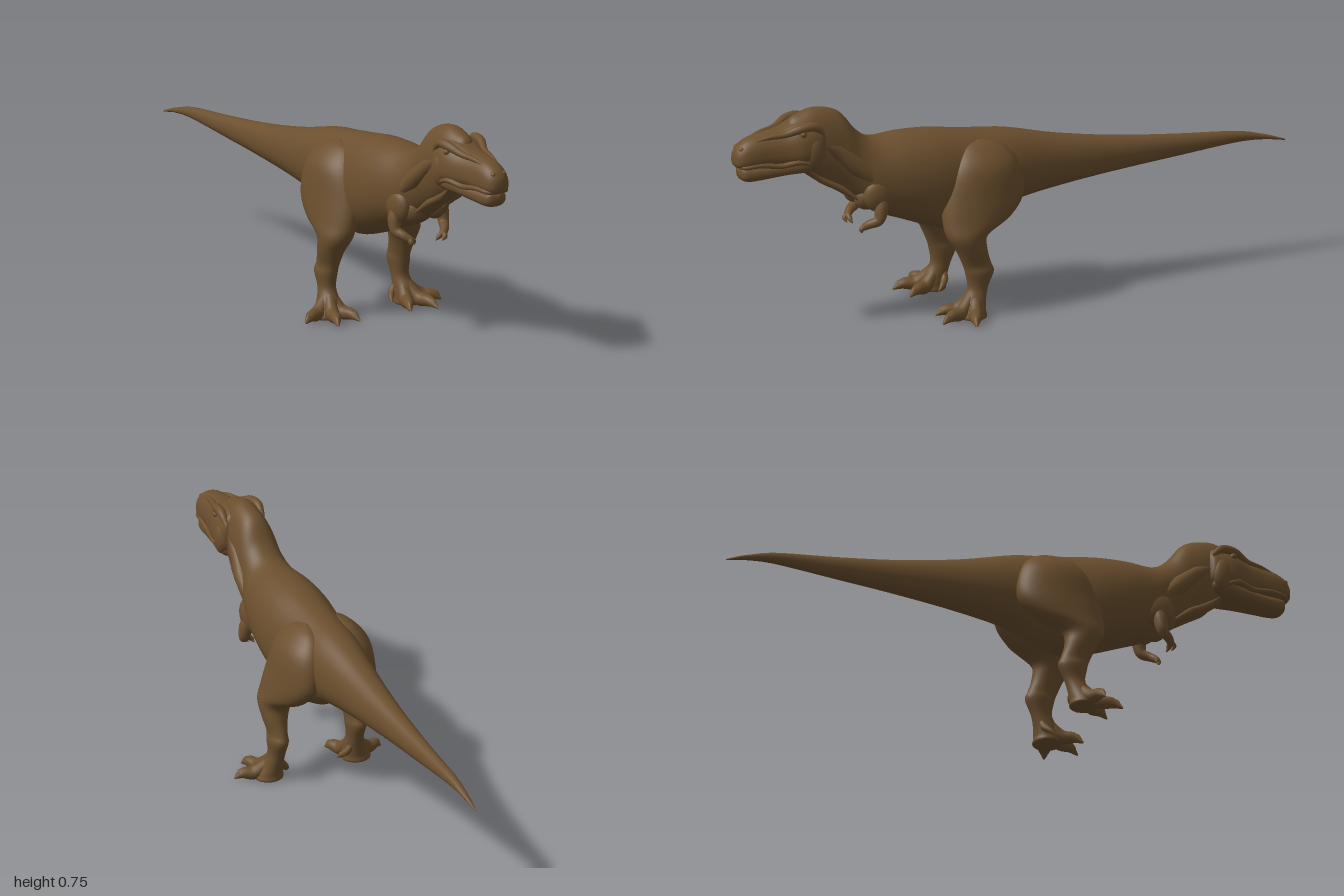
import * as THREE from 'three';

const hide = new THREE.MeshStandardMaterial({ color: 0x6b4f2e });
hide.name = 'brown hide';

// Catmull-Rom interpolation of every column in a table of cross-sections
function smoothRows(rows, steps) {
  const out = [];
  const last = rows.length - 1;
  for (let i = 0; i < last; i++) {
    const [p, a, b, q] = [rows[Math.max(i - 1, 0)], rows[i], rows[i + 1], rows[Math.min(i + 2, last)]];
    for (let s = 0; s < steps; s++) {
      const t = s / steps;
      out.push(a.map((v, k) => 0.5 * (2 * v + (b[k] - p[k]) * t
        + (2 * p[k] - 5 * v + 4 * b[k] - q[k]) * t * t
        + (3 * v - p[k] - 3 * b[k] + q[k]) * t * t * t)));
    }
  }
  out.push(rows[last]);
  return out;
}

// Skin over a stack of rings; place(row, cos, sin) gives one point
function loft(rows, place, steps = 5, sides = 36) {
  const rings = smoothRows(rows, steps);
  const pos = [], index = [];
  rings.forEach((row, i) => {
    for (let j = 0; j < sides; j++) {
      const a = (j / sides) * Math.PI * 2;
      pos.push(...place(row, Math.cos(a), Math.sin(a)));
      if (i === rings.length - 1) continue;
      const k = (j + 1) % sides;
      const A = i * sides + j, B = i * sides + k;
      index.push(A, B, A + sides, B, B + sides, A + sides);
    }
  });
  const g = new THREE.BufferGeometry();
  g.setAttribute('position', new THREE.Float32BufferAttribute(pos, 3));
  g.setIndex(index);
  g.computeVertexNormals();
  return g;
}

const power = (v, e) => Math.sign(v) * Math.abs(v) ** e;

// Rows along z: [z, top, bottom, half width]; taper narrows the upper side
const alongZ = (taper, e) => ([z, top, bottom, w], c, s) => [
  Math.max(w, 0) * power(c, e) * (1 - taper * s),
  (top + bottom) / 2 + ((top - bottom) / 2) * power(s, e), z];

// Tube through [x, y, z, radius] points, mirrored by side, kept above the ground
function taperedTube(points, side = 1, segments = 24, sides = 14) {
  const curve = new THREE.CatmullRomCurve3(points.map(p => new THREE.Vector3(p[0] * side, p[1], p[2])));
  const g = new THREE.TubeGeometry(curve, segments, 1, sides);
  const pos = g.attributes.position, v = new THREE.Vector3();
  for (let i = 0; i <= segments; i++) {
    const u = i / segments, centre = curve.getPointAt(u);
    const t = curve.getUtoTmapping(u) * (points.length - 1);
    const k = Math.min(Math.floor(t), points.length - 2);
    const r = THREE.MathUtils.lerp(points[k][3], points[k + 1][3], t - k);
    for (let j = 0; j <= sides; j++) {
      const n = i * (sides + 1) + j;
      v.fromBufferAttribute(pos, n).sub(centre).multiplyScalar(r).add(centre);
      pos.setXYZ(n, v.x, Math.max(v.y, 0.003), v.z);
    }
  }
  return g;
}

function add(parent, name, geometry) {
  const mesh = new THREE.Mesh(geometry, hide);
  mesh.name = name;
  parent.add(mesh);
  return mesh;
}

function blob(parent, name, position, scale, rotation = [0, 0, 0]) {
  const mesh = add(parent, name, new THREE.SphereGeometry(1, 24, 16));
  mesh.position.set(...position);
  mesh.scale.set(...scale);
  mesh.rotation.set(...rotation);
}

function buildHead(parent) {
  const head = new THREE.Group();
  head.name = 'head';
  parent.add(head);
  add(head, 'skull', loft([
    [0.68, 0.67, 0.60, 0], [0.695, 0.72, 0.575, 0.07], [0.73, 0.73, 0.565, 0.084], [0.78, 0.722, 0.572, 0.083],
    [0.83, 0.703, 0.578, 0.067], [0.88, 0.695, 0.58, 0.056], [0.94, 0.684, 0.58, 0.049],
    [0.975, 0.666, 0.583, 0.041], [0.994, 0.643, 0.592, 0.025], [1.0, 0.62, 0.61, 0]], alongZ(0.2, 0.8)));
  add(head, 'lowerJaw', loft([
    [0.69, 0.60, 0.585, 0], [0.705, 0.62, 0.556, 0.068], [0.75, 0.62, 0.545, 0.076], [0.82, 0.60, 0.543, 0.062],
    [0.89, 0.592, 0.537, 0.05], [0.945, 0.59, 0.534, 0.043], [0.972, 0.588, 0.542, 0.032],
    [0.984, 0.575, 0.565, 0]], alongZ(0, 0.8)));
  for (const s of [1, -1]) {
    add(head, 'browRidge', taperedTube([
      [0.066, 0.68, 0.70, 0.008], [0.067, 0.71, 0.735, 0.015], [0.062, 0.708, 0.78, 0.016],
      [0.045, 0.69, 0.83, 0.011], [0.033, 0.683, 0.89, 0.008], [0.024, 0.668, 0.95, 0.002]], s));
    add(head, 'upperLip', taperedTube([
      [0.078, 0.58, 0.74, 0.004], [0.075, 0.597, 0.79, 0.010], [0.058, 0.588, 0.85, 0.009],
      [0.048, 0.596, 0.92, 0.008], [0.034, 0.592, 0.972, 0.008], [0, 0.592, 0.988, 0.006]], s));
    blob(head, 'eye', [s * 0.068, 0.69, 0.775], [0.011, 0.011, 0.012]);
    blob(head, 'cheek', [s * 0.068, 0.62, 0.735], [0.024, 0.055, 0.036]);
    blob(head, 'nostril', [s * 0.02, 0.652, 0.975], [0.009, 0.008, 0.012]);
    // Loose skin along the throat
    add(head, 'throatFold', taperedTube([
      [0.035, 0.55, 0.74, 0.006], [0.036, 0.515, 0.70, 0.012], [0.045, 0.475, 0.63, 0.012],
      [0.055, 0.43, 0.57, 0.004]], s));
    add(head, 'neckMuscle', taperedTube([
      [0.05, 0.65, 0.72, 0.01], [0.052, 0.61, 0.65, 0.028], [0.065, 0.55, 0.58, 0.032],
      [0.075, 0.48, 0.50, 0.015]], s));
  }
}

function buildLeg(parent, s) {
  const leg = new THREE.Group();
  leg.name = s > 0 ? 'leftLeg' : 'rightLeg';
  parent.add(leg);
  // Rows down the leg: [y, centre x, centre z, x radius, z radius]
  add(leg, 'thighAndShin', loft([
    [0.58, 0.06, 0.13, 0, 0], [0.56, 0.068, 0.13, 0.035, 0.07], [0.50, 0.085, 0.13, 0.068, 0.12],
    [0.40, 0.10, 0.14, 0.072, 0.145], [0.33, 0.118, 0.17, 0.064, 0.122], [0.28, 0.133, 0.212, 0.055, 0.072],
    [0.23, 0.141, 0.20, 0.042, 0.054], [0.18, 0.141, 0.182, 0.031, 0.05], [0.15, 0.143, 0.173, 0.033, 0.05],
    [0.10, 0.144, 0.18, 0.028, 0.036], [0.06, 0.15, 0.197, 0.036, 0.042], [0.025, 0.158, 0.205, 0.046, 0.045],
    [0.004, 0.16, 0.205, 0.046, 0.044], [0.003, 0.16, 0.205, 0, 0]],
  ([y, x, z, rx, rz], c, n) => [s * x + Math.max(rx, 0) * c, Math.max(y, 0.003), z + Math.max(rz, 0) * n]));
  const toes = [
    ['outerToe', [0.145, 0.08, 0.19], [0.205, 0.026, 0.215], [0.24, 0.023, 0.23], [0.268, 0.006, 0.24]],
    ['middleToe', [0.148, 0.08, 0.20], [0.172, 0.027, 0.255], [0.185, 0.024, 0.295], [0.197, 0.006, 0.33]],
    ['innerToe', [0.142, 0.08, 0.195], [0.126, 0.026, 0.245], [0.112, 0.023, 0.28], [0.10, 0.006, 0.312]]];
  for (const [name, root, knuckle, pad, tip] of toes) {
    add(leg, name, taperedTube([[...root, 0.018], [...knuckle, 0.024], [...pad, 0.019], [...tip, 0.003]], s));
    const claw = pad.map((v, i) => v + (tip[i] - v) * 0.35);
    add(leg, name + 'Claw', taperedTube([
      [pad[0], 0.028, pad[2], 0.003], [claw[0], 0.026, claw[2], 0.012], [...tip, 0.001]], s, 12));
  }
  add(leg, 'rearToe', taperedTube([
    [0.135, 0.075, 0.175, 0.01], [0.115, 0.045, 0.18, 0.013], [0.10, 0.028, 0.195, 0.009], [0.095, 0.012, 0.21, 0.001]], s));
}

function buildArm(parent, s) {
  const arm = new THREE.Group();
  arm.name = s > 0 ? 'leftArm' : 'rightArm';
  parent.add(arm);
  blob(arm, 'shoulder', [s * 0.078, 0.445, 0.50], [0.03, 0.06, 0.06], [0.4, 0, 0]);
  add(arm, 'upperAndLowerArm', taperedTube([
    [0.08, 0.44, 0.50, 0.022], [0.093, 0.40, 0.505, 0.024], [0.094, 0.362, 0.515, 0.018],
    [0.08, 0.348, 0.54, 0.015], [0.064, 0.335, 0.555, 0.012], [0.058, 0.33, 0.56, 0.004]], s));
  for (const d of [-1, 1]) {
    add(arm, 'finger', taperedTube([
      [0.068, 0.342, 0.552, 0.009], [0.058 + d * 0.008, 0.328, 0.558 + d * 0.006, 0.009],
      [0.05 + d * 0.008, 0.314, 0.552 + d * 0.006, 0.001]], s, 12));
  }
}

export function createModel() {
  const model = new THREE.Group();
  model.name = 'dinosaur';
  // Tail, trunk and neck in one continuous skin
  add(model, 'body', loft([
    [-1, 0.396, 0.392, 0], [-0.97, 0.408, 0.398, 0.006], [-0.92, 0.425, 0.407, 0.011], [-0.82, 0.449, 0.411, 0.018],
    [-0.61, 0.47, 0.396, 0.03], [-0.39, 0.497, 0.38, 0.047], [-0.18, 0.535, 0.36, 0.07],
    [0, 0.58, 0.332, 0.096], [0.1, 0.594, 0.285, 0.11], [0.2, 0.608, 0.264, 0.12],
    [0.3, 0.622, 0.29, 0.128], [0.4, 0.626, 0.328, 0.122], [0.5, 0.624, 0.368, 0.102],
    [0.56, 0.66, 0.41, 0.082], [0.62, 0.73, 0.45, 0.073], [0.70, 0.754, 0.50, 0.066],
    [0.76, 0.742, 0.545, 0.056], [0.80, 0.72, 0.57, 0.035], [0.82, 0.65, 0.62, 0]], alongZ(0.04, 0.95), 6, 44));
  buildHead(model);
  for (const s of [1, -1]) {
    buildLeg(model, s);
    buildArm(model, s);
    blob(model, 'chestMuscle', [s * 0.042, 0.435, 0.53], [0.038, 0.045, 0.05], [0.6, 0, 0]);
  }
  return model;
}
